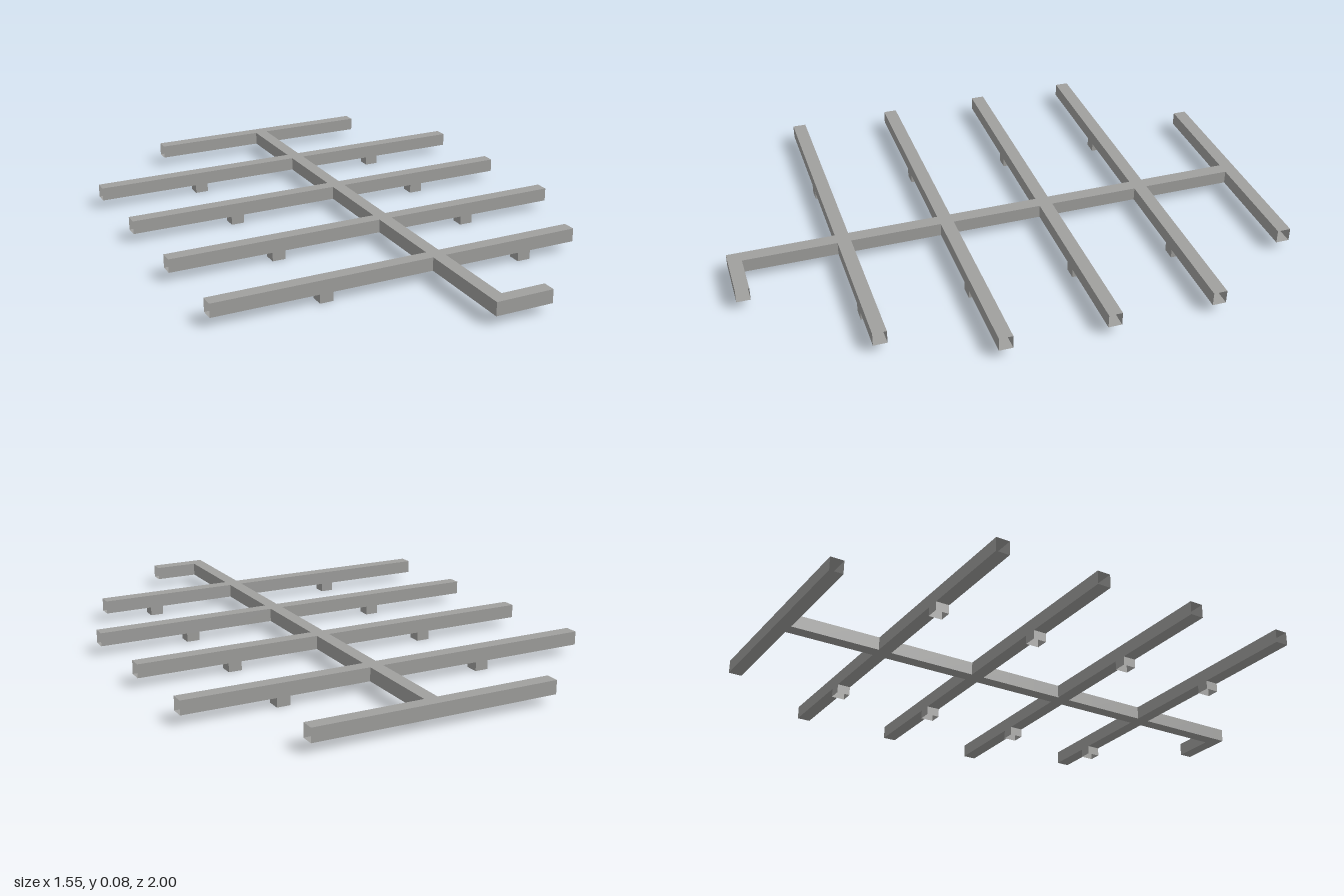
import * as THREE from 'three';

const W = 0.05;              // duct width and height
const Y0 = 0.033, Y1 = 0.083; // underside and top of the ducts
const SPINE = 0.065;         // x of the main duct
const STEP = 0.13;           // length of one sheet-metal section

const metal = new THREE.MeshStandardMaterial({ color: 0xa0a09e, side: THREE.DoubleSide });
metal.name = 'galvanised grey';

// Open sheet-metal box; walls picks its faces: t(op) b(ottom) l(-x) r(+x) f(+z) k(-z)
function section(name, [x0, x1], [z0, z1], walls, [y0, y1] = [Y0, Y1]) {
  const quads = {
    t: [[x0, y1, z1], [x1, y1, z1], [x1, y1, z0], [x0, y1, z0]],
    b: [[x0, y0, z0], [x1, y0, z0], [x1, y0, z1], [x0, y0, z1]],
    l: [[x0, y0, z0], [x0, y0, z1], [x0, y1, z1], [x0, y1, z0]],
    r: [[x1, y0, z1], [x1, y0, z0], [x1, y1, z0], [x1, y1, z1]],
    f: [[x0, y0, z1], [x1, y0, z1], [x1, y1, z1], [x0, y1, z1]],
    k: [[x1, y0, z0], [x0, y0, z0], [x0, y1, z0], [x1, y1, z0]],
  };
  const pos = [];
  for (const w of walls) for (const i of [0, 1, 2, 0, 2, 3]) pos.push(...quads[w][i]);
  const geo = new THREE.BufferGeometry();
  geo.setAttribute('position', new THREE.Float32BufferAttribute(pos, 3));
  geo.computeVertexNormals();
  const mesh = new THREE.Mesh(geo, metal);
  mesh.name = name;
  return mesh;
}

const around = (c) => [c - W / 2, c + W / 2];

// Straight run split into equal sections, along x or z
function run(group, name, axis, from, to, cross) {
  const n = Math.max(1, Math.round((to - from) / STEP));
  for (let i = 0; i < n; i++) {
    const span = [from + (to - from) * i / n, from + (to - from) * (i + 1) / n];
    group.add(axis === 'x'
      ? section(name, span, around(cross), 'tbfk')
      : section(name, around(cross), span, 'tblr'));
  }
}

// Cross duct with a spine fitting and optional downward outlets
function branch(name, z, x0, x1, outlets, fittingWalls) {
  const g = new THREE.Group();
  g.name = name;
  const breaks = [...outlets, SPINE].sort((a, b) => a - b);
  let x = x0;
  for (const c of breaks) {
    const span = around(c);
    if (span[0] - x > 0.001) run(g, 'branchSection', 'x', x, span[0], z);
    if (c === SPINE) {
      g.add(section('spineFitting', span, around(z), fittingWalls));
    } else {
      g.add(section('outletSection', span, around(z), 'tfk'));
      g.add(section('downOutlet', span, around(z), 'lrfk', [0, Y0]));
    }
    x = span[1];
  }
  if (x1 - x > 0.001) run(g, 'branchSection', 'x', x, x1, z);
  return g;
}

export function createModel() {
  const model = new THREE.Group();
  model.name = 'ductNetwork';
  const zs = [-0.975, -0.587, -0.199, 0.19, 0.579, 0.975];

  // Rear tee, four crossing branches, front elbow
  model.add(branch('rearBranch', zs[0], -0.39, 0.515, [], 'tbk'));
  for (let i = 1; i <= 4; i++) {
    model.add(branch('branch' + i, zs[i], -0.777, i === 4 ? 0.625 : 0.777, [-0.365, 0.415], 'tb'));
  }
  model.add(branch('frontElbow', zs[5], SPINE - W / 2, 0.257, [], 'tbfl'));

  // Main duct between the fittings
  const spine = new THREE.Group();
  spine.name = 'mainDuct';
  for (let i = 0; i < 5; i++) run(spine, 'mainSection', 'z', zs[i] + W / 2, zs[i + 1] - W / 2, SPINE);
  model.add(spine);
  return model;
}
